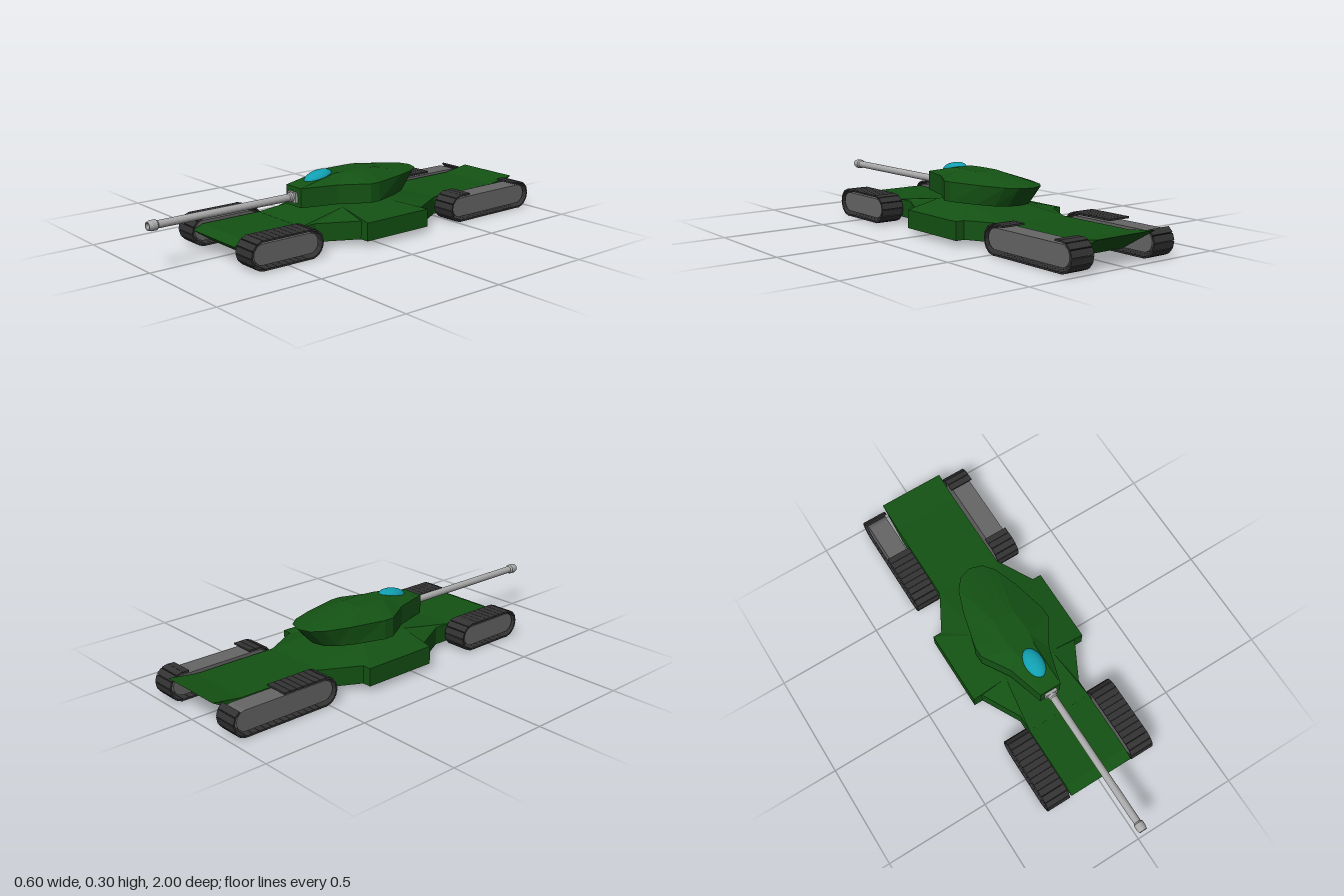
import * as THREE from 'three';

const paint = (color, flatShading = true) => new THREE.MeshStandardMaterial({ color, flatShading });
const green = paint(0x145214), rubber = paint(0x333333), plate = paint(0x666666);
const steel = paint(0xaaaaaa, false), glass = paint(0x119fb0, false);

function add(parent, name, geometry, material, x = 0, y = 0, z = 0) {
  const mesh = new THREE.Mesh(geometry, material);
  mesh.name = name;
  mesh.position.set(x, y, z);
  parent.add(mesh);
  return mesh;
}

// Closed solid through stacked rings; each ring is a right half [x, y, z], front to back, mirrored in x
function loft(halves) {
  const rings = halves.map(h => [...h, ...h.filter(p => p[0] > 0).reverse().map(([x, y, z]) => [-x, y, z])]);
  const n = rings[0].length, index = [];
  for (let k = 0; k < rings.length - 1; k++) {
    for (let i = 0; i < n; i++) {
      const a = k * n + i, b = k * n + (i + 1) % n;
      index.push(a, b, b + n, a, b + n, a + n);
    }
  }
  const cap = (ring, base, flip) => {
    const outline = ring.map(p => new THREE.Vector2(p[0], -p[2]));
    for (const [a, b, c] of THREE.ShapeUtils.triangulateShape(outline, [])) {
      index.push(base + a, base + (flip ? c : b), base + (flip ? b : c));
    }
  };
  cap(rings[0], 0, true);
  cap(rings.at(-1), (rings.length - 1) * n, false);
  const g = new THREE.BufferGeometry();
  g.setAttribute('position', new THREE.Float32BufferAttribute(rings.flat(2), 3));
  g.setIndex(index);
  const flat = g.toNonIndexed();
  flat.computeVertexNormals();
  return flat;
}

// Side profile drawn as (z, y), extruded across x and centred
function acrossX(shape, width) {
  const g = new THREE.ExtrudeGeometry(shape, { depth: width, bevelEnabled: false, curveSegments: 10 });
  return g.translate(0, 0, -width / 2).rotateY(-Math.PI / 2);
}

// Rounded-end loop in (z, y)
function stadium(z0, z1, y, r) {
  const s = new THREE.Shape();
  s.absarc(z1 - r, y, r, -Math.PI / 2, Math.PI / 2, false);
  s.absarc(z0 + r, y, r, Math.PI / 2, Math.PI * 1.5, false);
  s.closePath();
  return s;
}

// Track pod: inner slab wrapped by separate shoes, with an optional stretch missing on top
function trackPod(name, x, z0, z1, count, gap) {
  const pod = new THREE.Group();
  pod.name = name;
  pod.position.x = x;
  add(pod, 'trackCore', acrossX(stadium(z0 + 0.022, z1 - 0.018, 0.07, 0.046), 0.096), plate);
  const path = stadium(z0 + 0.004, z1 - 0.004, 0.067, 0.062);
  const shoe = new THREE.BoxGeometry(0.116, 0.008, path.getLength() / count * 0.95);
  for (let i = 0; i < count; i++) {
    const t = (i + 0.5) / count, p = path.getPoint(t), d = path.getTangent(t);
    if (gap && p.y > 0.1 && p.x > gap[0] && p.x < gap[1]) continue;
    add(pod, 'trackShoe', shoe, rubber, 0, p.y, p.x).rotation.x = -Math.atan2(d.y, d.x);
  }
  return pod;
}

export function createModel() {
  const model = new THREE.Group();
  model.name = 'tank';

  // Long central hull with undercut nose and raised tail
  const profile = [[0.6, 0.025], [0.69, 0.087], [0.64, 0.108], [-0.86, 0.11], [-1, 0.13], [-0.82, 0.025]];
  add(model, 'hull', acrossX(new THREE.Shape(profile.map(p => new THREE.Vector2(...p))), 0.32), green);

  // Wide middle hull, stepped at the sides, sloping up to a flat roof
  const plan = [[0.16, 0.34], [0.16, 0.26], [0.255, 0.08], [0.298, 0.08],
    [0.298, -0.285], [0.255, -0.285], [0.16, -0.46]];
  add(model, 'middleHull', loft([
    plan.map(([x, z]) => [x, 0.025, z]),
    plan.map(([x, z]) => [x, 0.109, z]),
    plan.map(([, z]) => [0.125, 0.145, z > 0 ? 0.08 : -0.17]),
  ]), green);

  // Turret: vertical front and sides, overhanging rear, shallow faceted roof
  add(model, 'turretRing', new THREE.CylinderGeometry(0.08, 0.08, 0.03, 24), rubber, 0, 0.15, -0.095);
  const rim = [[0.053, 0.26], [0.103, 0.09], [0.182, -0.04], [0.182, -0.09],
    [0.14, -0.26], [0.1, -0.37], [0.06, -0.42], [0, -0.44]];
  const baseZ = [0.26, 0.09, -0.04, -0.09, -0.22, -0.3, -0.34, -0.355];
  const roof = [[0.045, 0.06], [0.05, 0.03], [0.055, 0], [0.055, -0.05],
    [0.055, -0.1], [0.05, -0.13], [0.03, -0.135], [0, -0.135]];
  add(model, 'turret', loft([
    rim.map(([x], i) => [x, 0.156, baseZ[i]]),
    rim.map(([x, z]) => [x, 0.245, z]),
    roof.map(([x, z]) => [x, 0.285, z]),
  ]), green);

  // Tinted dome on the sloping turret front
  const dome = add(model, 'dome', new THREE.SphereGeometry(1, 24, 16), glass, 0, 0.27, 0.122);
  dome.scale.set(0.045, 0.028, 0.073);
  dome.rotation.x = 0.19;

  // Gun with mantlet, collar and hollow muzzle
  add(model, 'mantlet', new THREE.BoxGeometry(0.06, 0.047, 0.03), steel, 0, 0.199, 0.258);
  const gun = [[0, 0.25], [0.022, 0.25], [0.022, 0.285], [0.017, 0.29], [0.017, 0.955], [0.023, 0.962],
    [0.023, 0.985], [0.019, 1], [0.014, 1], [0.014, 0.97], [0, 0.97]];
  const barrel = new THREE.LatheGeometry(gun.map(p => new THREE.Vector2(...p)), 20).toNonIndexed();
  barrel.computeVertexNormals();
  add(model, 'gunBarrel', barrel.rotateX(Math.PI / 2), steel, 0, 0.199, 0);

  // Four track pods; the rear pair have lost some upper shoes
  for (const side of [1, -1]) {
    const label = side > 0 ? 'left' : 'right';
    model.add(trackPod(label + 'FrontTrack', side * 0.225, 0.315, 0.688, 28));
    model.add(trackPod(label + 'RearTrack', side * 0.225, -0.99, -0.458, 38,
      side > 0 ? [-0.885, -0.59] : [-0.965, -0.735]));
  }
  return model;
}
